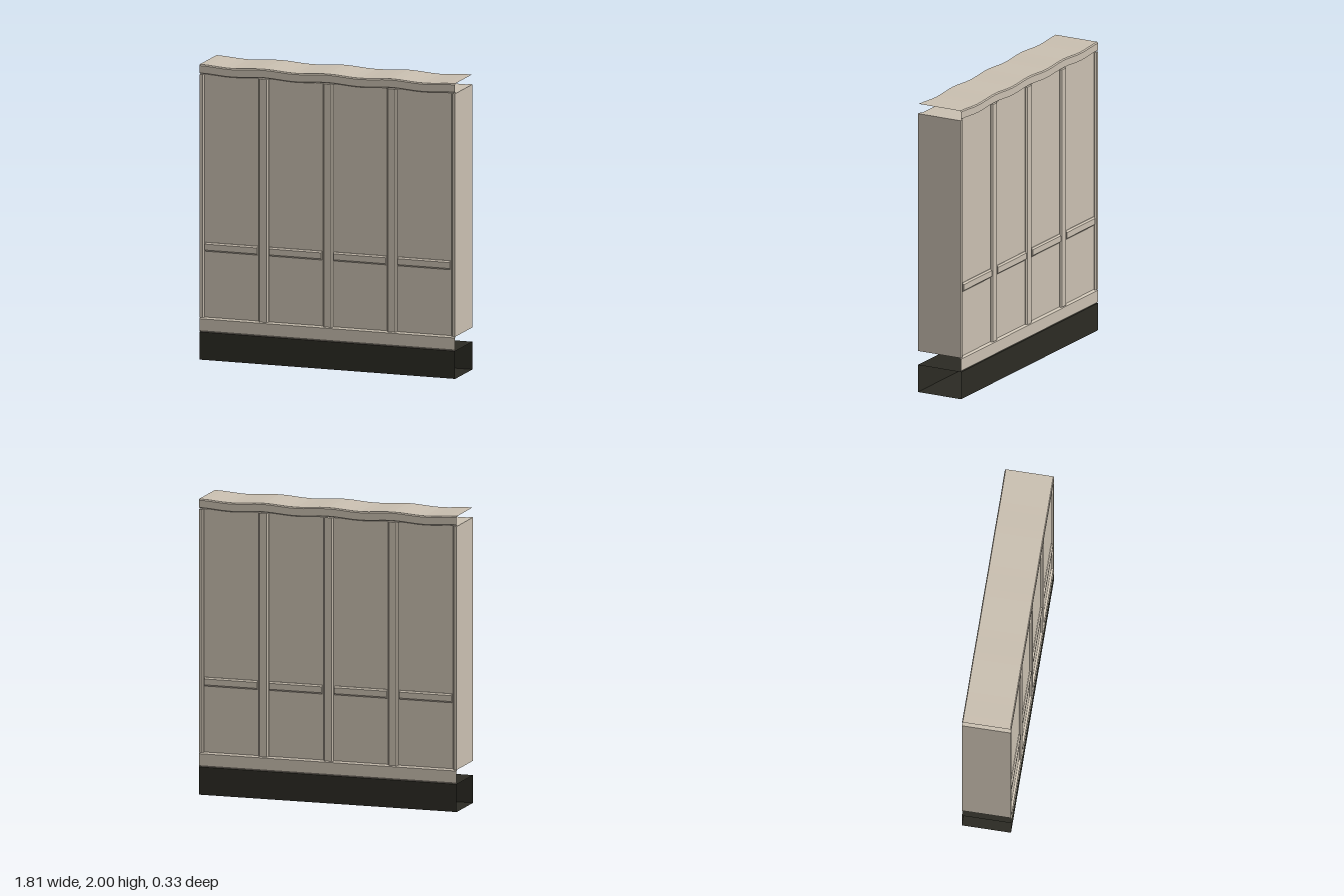
import * as THREE from 'three';

const W = 0.905, D = 0.165; // half width and half depth

// Open sleeve: a cross-section of [z, y] points swept along x, with an optional wave in y
function sweep(points, steps, wave = () => 0) {
  const pos = [];
  for (let i = 0; i < steps; i++) {
    const xa = -W + (2 * W * i) / steps, xb = -W + (2 * W * (i + 1)) / steps;
    for (let j = 0; j < points.length - 1; j++) {
      const [z0, y0] = points[j], [z1, y1] = points[j + 1];
      const a = [xa, y0 + wave(xa), z0], b = [xb, y0 + wave(xb), z0];
      const c = [xb, y1 + wave(xb), z1], d = [xa, y1 + wave(xa), z1];
      pos.push(...a, ...b, ...c, ...a, ...c, ...d);
    }
  }
  const g = new THREE.BufferGeometry();
  g.setAttribute('position', new THREE.Float32BufferAttribute(pos, 3));
  g.computeVertexNormals();
  return g;
}

// Prism along z with bevelled long edges, centred on the origin
function bevelledPrism(w, h, length, bevel) {
  const x = w / 2, y = h / 2, b = bevel;
  const s = new THREE.Shape([
    [x - b, -y], [x, -y + b], [x, y - b], [x - b, y],
    [-x + b, y], [-x, y - b], [-x, -y + b], [-x + b, -y],
  ].map(([px, py]) => new THREE.Vector2(px, py)));
  return new THREE.ExtrudeGeometry(s, { depth: length, bevelEnabled: false })
    .translate(0, 0, -length / 2);
}

export function createModel() {
  const group = new THREE.Group();
  const beige = new THREE.MeshStandardMaterial({ color: 0xc9bfb0 });
  beige.name = 'beige panel';
  const beigeOpen = new THREE.MeshStandardMaterial({ color: 0xc9bfb0, side: THREE.DoubleSide });
  beigeOpen.name = 'beige panel two sided';
  const dark = new THREE.MeshStandardMaterial({ color: 0x2b2a23, side: THREE.DoubleSide });
  dark.name = 'dark plinth';

  const add = (name, geometry, material, x = 0, y = 0, z = 0) => {
    const m = new THREE.Mesh(geometry, material);
    m.name = name;
    m.position.set(x, y, z);
    group.add(m);
  };

  // Dark plinth, open at both ends
  add('plinth', sweep([[-D, 0], [D, 0], [D, 0.188], [-D, 0.188], [-D, 0]], 1), dark);

  // Bottom rail faces with a bevelled upper edge
  const bottomFace = [[D - 0.008, 0.188], [D, 0.196], [D, 0.277], [0.15, 0.288]];
  const mirrored = (pts) => pts.map(([z, y]) => [-z, y]).reverse();
  add('bottomRailFront', sweep(bottomFace, 1), beige);
  add('bottomRailBack', sweep(mirrored(bottomFace), 1), beige);

  // Gently waved cap rail, open at both ends
  const wave = (x) => 0.006 * (Math.cos((x / W) * Math.PI * 4) - 1);
  const capFace = [[0.15, 1.936], [D, 1.943], [D, 1.992], [D - 0.006, 2]];
  add('capFront', sweep(capFace, 32, wave), beige);
  add('capBack', sweep(mirrored(capFace), 32, wave), beige);
  add('capTop', sweep([[D - 0.006, 2], [-D + 0.006, 2]], 32, wave), beigeOpen);

  // Recessed wall panel
  const y0 = 0.285, y1 = 1.932, h = y1 - y0, mid = (y0 + y1) / 2;
  add('wallPanel', new THREE.BoxGeometry(2 * W - 0.04, h, 0.3), beige, 0, mid);

  // Upright posts: three between the bays and a slim one at each end
  const upright = (w) => bevelledPrism(w, 2 * D, h, 0.01).rotateX(Math.PI / 2);
  for (const x of [-0.455, 0, 0.455]) add('post', upright(0.07), beige, x, mid);
  for (const s of [-1, 1]) {
    add('endPost', upright(0.03), beige, s * (W - 0.015), mid);
    add('endPanel', new THREE.BoxGeometry(0.01, h, 2 * D), beige, s * (W - 0.005), mid);
  }

  // Cross rails between the posts, showing on both faces
  for (const x of [-0.683, -0.228, 0.228, 0.683]) {
    const rail = bevelledPrism(2 * D, 0.06, 0.37, 0.01).rotateY(Math.PI / 2);
    add('crossRail', rail, beige, x, 0.765);
  }
  return group;
}
